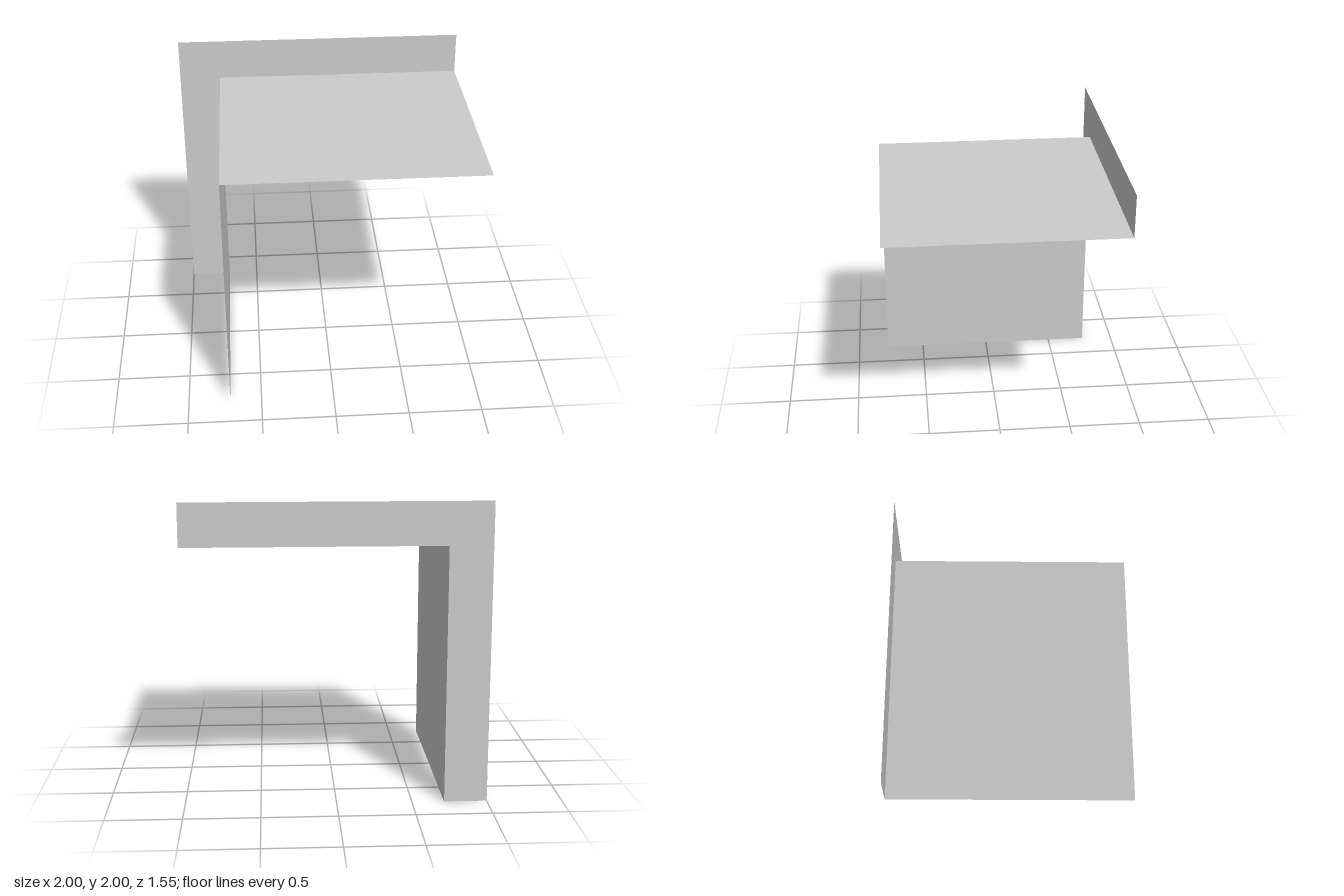
import * as THREE from 'three';

export function createModel() {
  const group = new THREE.Group();
  const material = new THREE.MeshStandardMaterial({ color: 0xcccccc, side: THREE.DoubleSide, flatShading: true });
  const innerX = -0.715, innerY = 1.715, halfDepth = 0.773;

  const add = (name, geometry) => {
    const mesh = new THREE.Mesh(geometry, material);
    mesh.name = name;
    group.add(mesh);
    return mesh;
  };

  // Horizontal sheet
  add('topPanel', new THREE.PlaneGeometry(1 - innerX, halfDepth * 2).rotateX(-Math.PI / 2))
    .position.set((1 + innerX) / 2, innerY, 0);

  // Upright sheet, hanging from the edge of the top
  add('sidePanel', new THREE.PlaneGeometry(halfDepth * 2, innerY).rotateY(-Math.PI / 2))
    .position.set(innerX, innerY / 2, 0);

  // Flat L-shaped flange along the back edges of both sheets
  const outline = [[-1, 0], [innerX, 0], [innerX, innerY], [1, innerY], [1, 2], [-1, 2]];
  const shape = new THREE.Shape(outline.map(([x, y]) => new THREE.Vector2(x, y)));
  add('backFlange', new THREE.ShapeGeometry(shape)).position.z = -halfDepth;

  return group;
}
